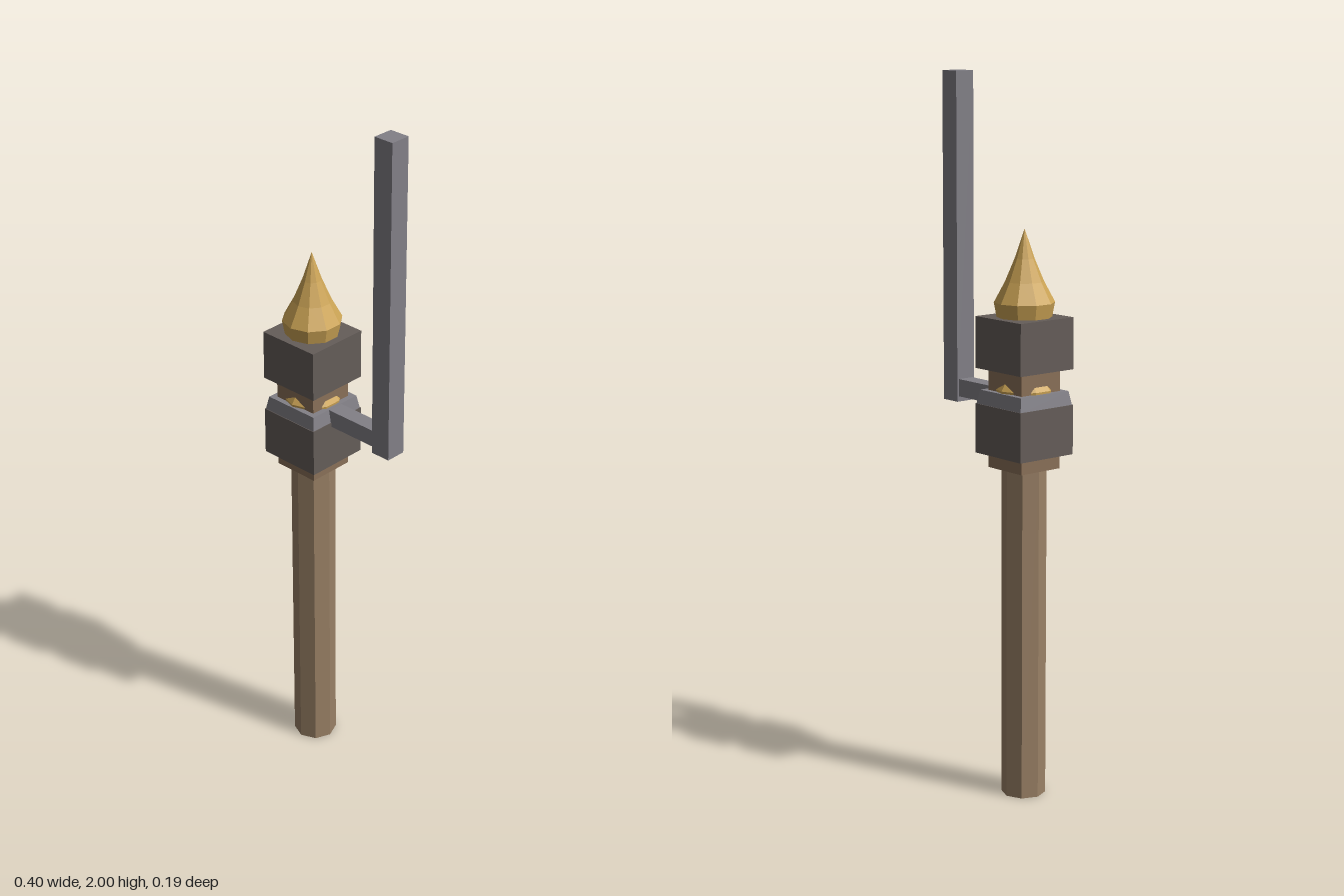
import * as THREE from 'three';

const material = (name, color, flat = true) => {
  const m = new THREE.MeshStandardMaterial({ color });
  m.name = name;
  m.flatShading = flat;
  return m;
};

export function createModel() {
  const group = new THREE.Group();
  const wood = material('light wood', 0x9a8166);
  const darkWood = material('collar wood', 0x8a7058);
  const iron = material('dark iron', 0x655d59);
  const steel = material('grey steel', 0x828087);
  const gold = material('gold', 0xcda556);
  const postX = -0.109;

  const add = (name, geometry, mat, x, y) => {
    const mesh = new THREE.Mesh(geometry, mat);
    mesh.name = name;
    mesh.position.set(x, y, 0);
    group.add(mesh);
    return mesh;
  };
  // Box given by its bottom and top heights
  const box = (name, mat, x, width, depth, y0, y1) =>
    add(name, new THREE.BoxGeometry(width, y1 - y0, depth), mat, x, (y0 + y1) / 2);
  // Faceted turned part with ten sides
  const turned = (name, profile) =>
    add(name, new THREE.LatheGeometry(profile.map(p => new THREE.Vector2(...p)), 10), gold, postX, 0);

  // Octagonal post
  add('post', new THREE.CylinderGeometry(0.062, 0.062, 0.94, 8), wood, postX, 0.47);

  // Square collars and blocks
  box('lowerCollar', darkWood, postX, 0.138, 0.138, 0.935, 0.98);
  box('lowerBlock', iron, postX, 0.188, 0.188, 0.975, 1.112);
  box('upperCollar', darkWood, postX, 0.138, 0.138, 1.15, 1.215);
  box('upperBlock', iron, postX, 0.188, 0.188, 1.21, 1.352);

  // Slightly tapered clamp plate on the lower block
  const plate = new THREE.CylinderGeometry(0.085 * Math.SQRT2, 0.092 * Math.SQRT2, 0.038, 4);
  plate.rotateY(Math.PI / 4);
  add('clampPlate', plate, steel, postX, 1.131);

  // Gold ring and finial
  turned('goldRing', [[0, 1.145], [0.08, 1.145], [0.081, 1.156], [0.068, 1.176], [0, 1.178]]);
  turned('finial', [[0, 1.35], [0.075, 1.35], [0.083, 1.392], [0.053, 1.448], [0.027, 1.51], [0, 1.59]]);

  // Side arm and tall upright
  box('arm', steel, 0.055, 0.19, 0.048, 1.1, 1.149);
  box('upright', steel, 0.172, 0.06, 0.06, 1.085, 2);

  return group;
}
